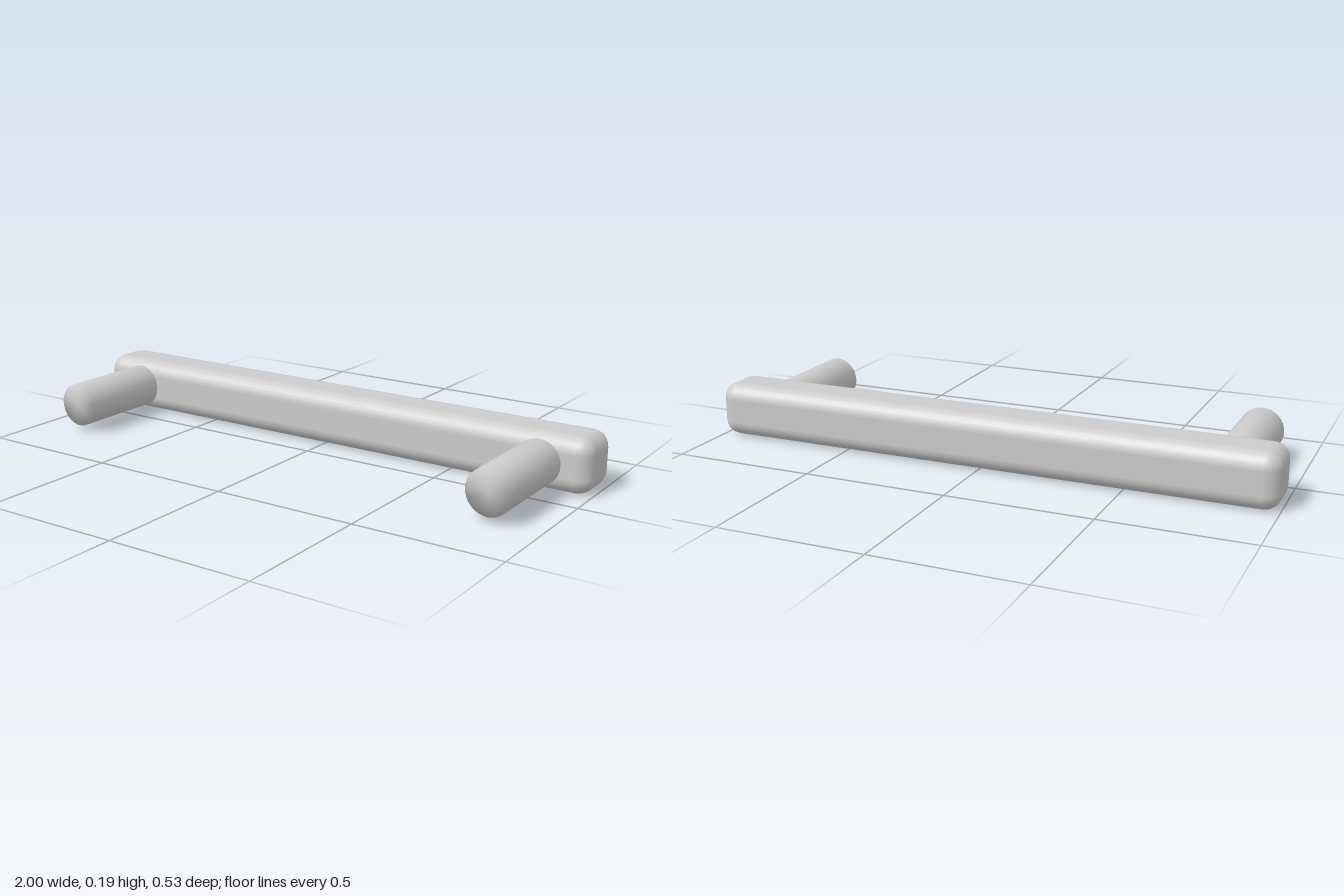
import * as THREE from 'three';
import { RoundedBoxGeometry } from 'three/addons/geometries/RoundedBoxGeometry.js';
import { mergeVertices } from 'three/addons/utils/BufferGeometryUtils.js';

// Weld a geometry so its normals run smoothly over every edge
function smooth(geometry) {
  geometry.deleteAttribute('normal');
  geometry.deleteAttribute('uv');
  const welded = mergeVertices(geometry, 1e-4);
  welded.computeVertexNormals();
  return welded;
}

export function createModel() {
  const model = new THREE.Group();
  model.name = 'pullHandle';
  const material = new THREE.MeshStandardMaterial({ color: 0xcccccc });

  // Grip bar with rounded edges
  const bar = new THREE.Mesh(new RoundedBoxGeometry(2, 0.19, 0.19, 3, 0.055), material);
  bar.name = 'gripBar';
  bar.position.set(0, 0.095, -0.172);
  model.add(bar);

  // Two round mounting posts, reaching forward from the bar
  const postGeometry = smooth(new THREE.CylinderGeometry(0.077, 0.077, 0.345, 32).rotateX(Math.PI / 2));
  for (const side of [-1, 1]) {
    const post = new THREE.Mesh(postGeometry, material);
    post.name = side > 0 ? 'leftPost' : 'rightPost';
    post.position.set(side * 0.827, 0.096, 0.0955);
    model.add(post);
  }

  return model;
}
